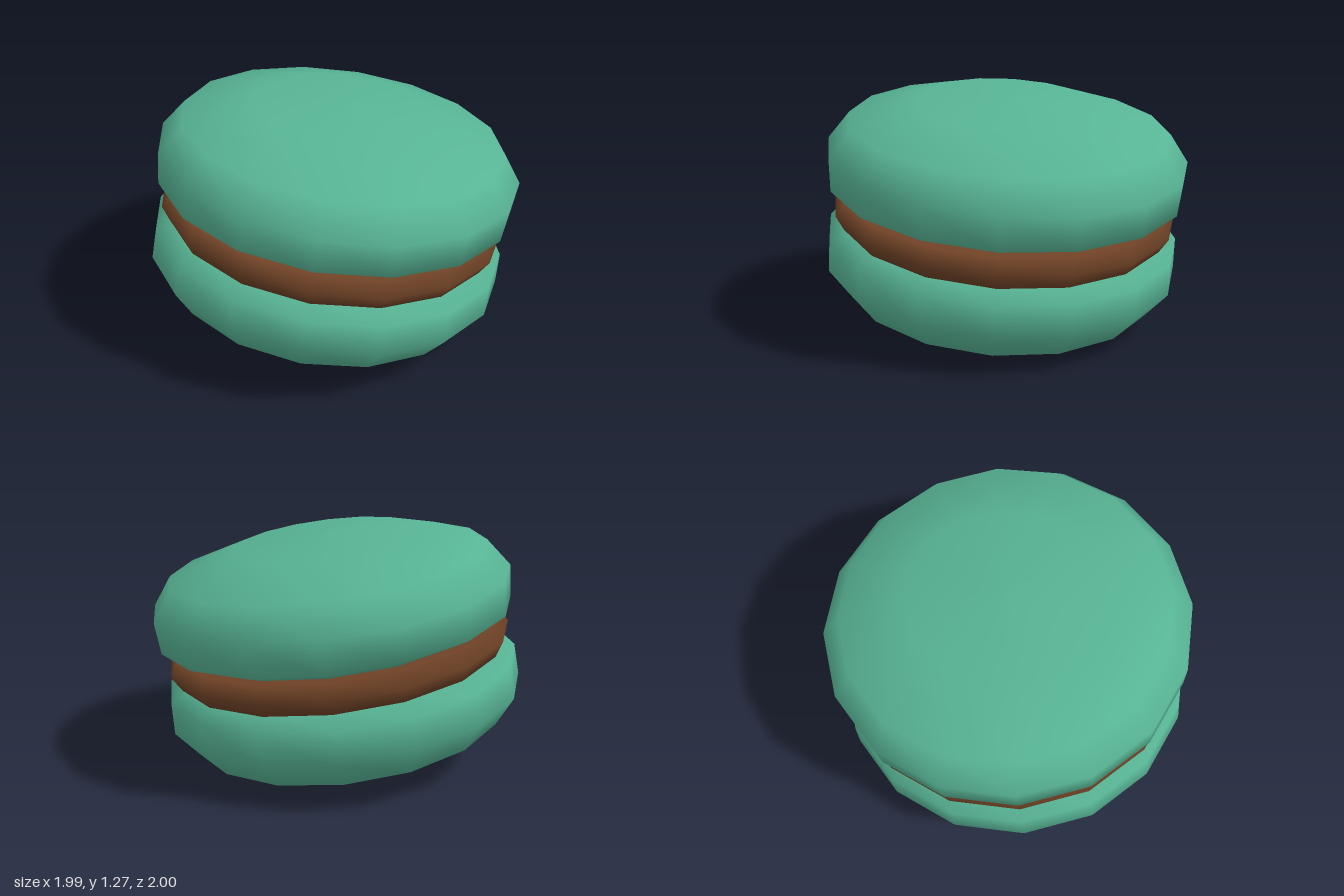
import * as THREE from 'three';

const SIDES = 16;

// Turns a [radius, height] profile, listed bottom to top, into a smooth round part
function turned(name, profile, material) {
  const points = profile.map(([r, h]) => new THREE.Vector2(r, h));
  const mesh = new THREE.Mesh(new THREE.LatheGeometry(points, SIDES), material);
  mesh.name = name;
  return mesh;
}

export function createModel() {
  const shellGreen = new THREE.MeshStandardMaterial({ color: 0x57b394 });
  shellGreen.name = 'shell green';
  const fillingBrown = new THREE.MeshStandardMaterial({ color: 0x6f4226 });
  fillingBrown.name = 'filling brown';

  // Domed biscuit shell: flat underside, rounded rim, shallow dome
  const dome = [
    [0, 0.07], [0.82, 0.075], [0.96, 0.14], [0.97, 0.31],
    [0.86, 0.46], [0.5, 0.57], [0, 0.59],
  ];
  const mirrored = dome.map(([r, h]) => [r, -h]).reverse();

  // Cream disc with a ridged edge
  const disc = [[0, -0.08], [0.89, -0.08], [0.935, 0], [0.89, 0.08], [0, 0.08]];

  const biscuit = new THREE.Group();
  biscuit.name = 'sandwichBiscuit';
  biscuit.add(
    turned('topShell', dome, shellGreen),
    turned('filling', disc, fillingBrown),
    turned('bottomShell', mirrored, shellGreen),
  );

  // The whole biscuit leans towards its back left
  const axis = new THREE.Vector3(0.09, 1, -0.11).normalize();
  biscuit.quaternion.setFromUnitVectors(new THREE.Vector3(0, 1, 0), axis);
  biscuit.position.y = 0.64;

  const model = new THREE.Group();
  model.name = 'model';
  model.add(biscuit);
  return model;
}
